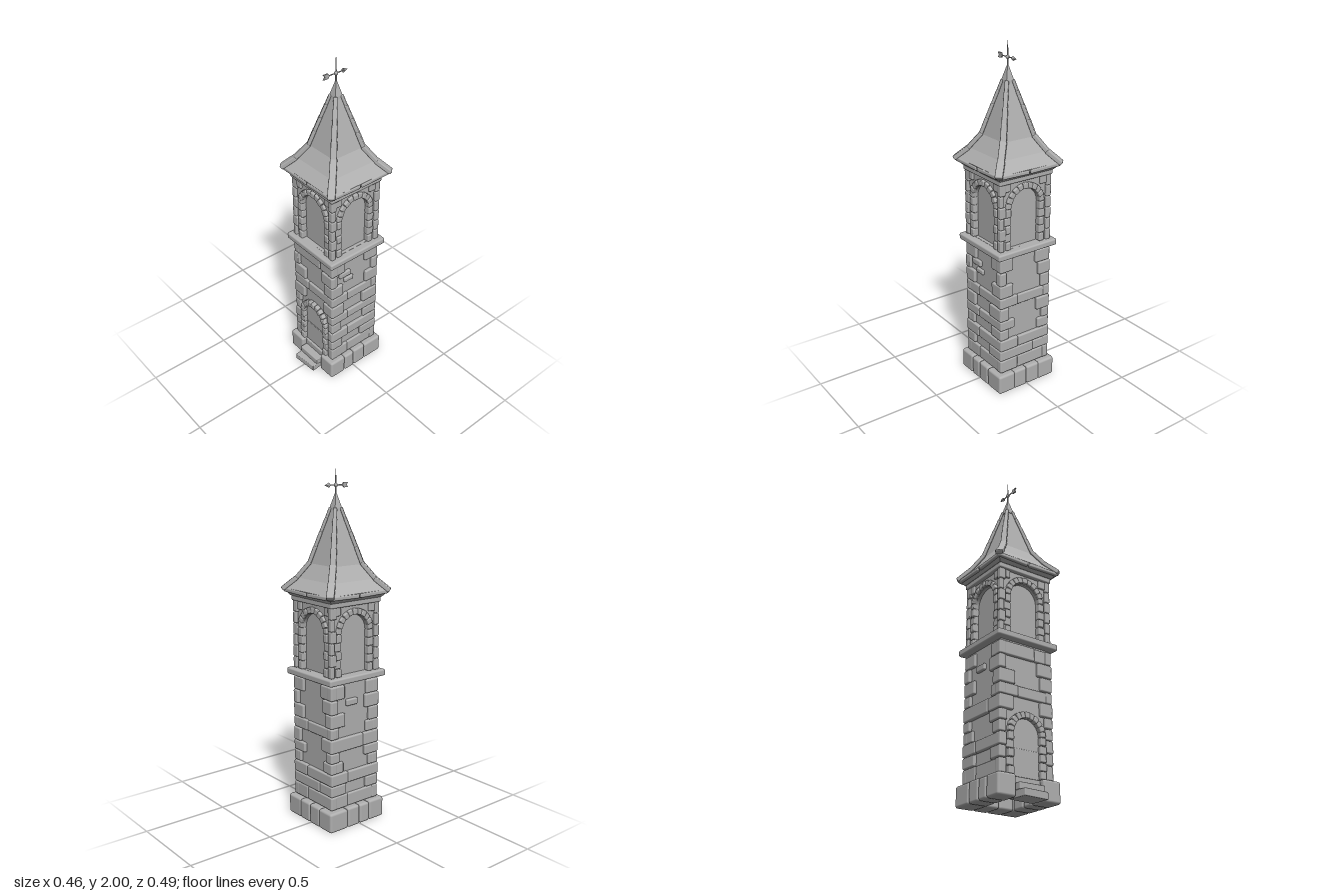
import * as THREE from 'three';
import { RoundedBoxGeometry } from 'three/addons/geometries/RoundedBoxGeometry.js';

const stone = new THREE.MeshStandardMaterial({ color: 0xb0b0b0 });
stone.name = 'grey stone';

function add(parent, name, geometry, x = 0, y = 0, z = 0) {
  const mesh = new THREE.Mesh(geometry, stone);
  mesh.name = name;
  mesh.position.set(x, y, z);
  parent.add(mesh);
  return mesh;
}

// Worn block given by its extents
function block(parent, name, x0, x1, y0, y1, z0, z1, r = 0.008) {
  const g = new RoundedBoxGeometry(x1 - x0, y1 - y0, z1 - z0, 2, r);
  return add(parent, name, g, (x0 + x1) / 2, (y0 + y1) / 2, (z0 + z1) / 2);
}

// Square solid from [half width, height] pairs, flat sides
function squareLoft(profile) {
  const pts = profile.map(([h, y]) => new THREE.Vector2(h * Math.SQRT2, y));
  const g = new THREE.LatheGeometry(pts, 4, Math.PI / 4).toNonIndexed();
  g.computeVertexNormals();
  return g;
}

// Jamb stones and voussoirs around a round-headed opening
function arch(parent, y0, spring, r, w, z0, z1, count) {
  const n = Math.round((spring - y0) / 0.045);
  const h = (spring - y0) / n;
  for (const s of [-1, 1]) {
    for (let i = 0; i < n; i++) {
      const a = s * r, b = s * (r + w + (i % 2 ? 0.008 : 0));
      block(parent, 'jambStone', Math.min(a, b), Math.max(a, b),
        y0 + i * h, y0 + (i + 1) * h - 0.002, z0, z1 - (i % 2) * 0.005, 0.006);
    }
  }
  for (let i = 0; i < count; i++) {
    const a = (i + 0.5) / count * Math.PI, m = r + w / 2;
    const g = new RoundedBoxGeometry(w, Math.PI * m / count, z1 - z0, 2, 0.006);
    const v = add(parent, 'archStone', g, Math.cos(a) * m, spring + Math.sin(a) * m,
      (z0 + z1) / 2 + (i % 2) * 0.003);
    v.rotation.z = a;
  }
}

// Wall plate with a round-headed hole
function archedWall(half, y0, y1, spring, r, depth) {
  const s = new THREE.Shape();
  s.moveTo(-half, y0).lineTo(half, y0).lineTo(half, y1).lineTo(-half, y1);
  const hole = new THREE.Path();
  hole.moveTo(-r, y0 + 0.005).lineTo(-r, spring);
  hole.absarc(0, spring, r, Math.PI, 0, true);
  hole.lineTo(r, y0 + 0.005);
  s.holes.push(hole);
  return new THREE.ExtrudeGeometry(s, { depth, bevelEnabled: false, curveSegments: 16 });
}

// Course heights, and left and right stone lengths per course for each side
const F = 0.173;
const courses = [0.12, 0.2, 0.265, 0.335, 0.4, 0.46, 0.54, 0.605, 0.685, 0.765, 0.845];
const sides = [
  { name: 'front', turn: 0, rows: [[0.045, 0.045], [0.04, 0.045], [0.045, 0.04], [0.04, 0.045],
    [0.05, 0.05], [0.09, 0.08], [F, F], [0.1, 0.075], [0.035, 0.095], [F, F]] },
  { name: 'right', turn: Math.PI / 2, rows: [[F, F], [0.08, 0.12], [F, F], [0.075, 0.1],
    [F, F], [0.09, 0.11], [F, F], [0.085, 0.09], [0.03, 0.04], [0.1, 0.095]] },
  { name: 'back', turn: Math.PI, rows: [[F, F], [F, F], [F, F], [0.06, 0.08],
    [0.1, 0.05], [0.06, 0.09], [F, F], [0.09, 0.06], [0.04, 0.08], [0.09, 0.1]] },
  { name: 'left', turn: -Math.PI / 2, rows: [[F, F], [0.11, 0.09], [F, F], [0.09, 0.07],
    [0.06, 0.1], [F, F], [0.06, 0.09], [0.1, 0.07], [0.05, 0.1], [0.1, 0.09]] },
];

export function createModel() {
  const model = new THREE.Group();
  model.name = 'bellTower';
  const tower = new THREE.Group();
  tower.name = 'tower';
  tower.position.set(0.004, 0, -0.02);
  model.add(tower);

  // Plain wall cores
  add(tower, 'lowerWall', new THREE.BoxGeometry(0.312, 0.76, 0.312), 0, 0.48, 0);
  add(tower, 'belfryCore', new THREE.BoxGeometry(0.27, 0.44, 0.27), 0, 1.09, 0);

  // Hollow ring of plinth blocks, open in front for the steps
  const P = 0.198;
  for (const s of [-1, 1]) {
    const cuts = [P, 0.09, 0.018, -0.07, -P];
    for (let i = 0; i < 4; i++) {
      const inner = 0.085, a = s * inner, b = s * P;
      block(tower, 'plinthBlock', Math.min(a, b), Math.max(a, b), 0, 0.12 - (i % 2) * 0.003,
        cuts[i + 1], cuts[i], 0.014);
    }
    block(tower, 'plinthBlock', s < 0 ? -0.09 : 0, s < 0 ? 0 : 0.09, 0, 0.118, -P, -0.07, 0.014);
  }

  // Doorsteps
  const step = block(tower, 'lowerStep', -0.083, 0.073, 0, 0.04, 0.13, 0.252, 0.005);
  step.rotation.y = 0.08;
  block(tower, 'upperStep', -0.08, 0.08, 0.04, 0.078, 0.09, 0.218, 0.005);
  block(tower, 'doorSill', -0.085, 0.085, 0.07, 0.115, 0.08, 0.172, 0.005);

  for (const side of sides) {
    const face = new THREE.Group();
    face.name = side.name + 'Face';
    face.rotation.y = side.turn;
    tower.add(face);

    // Corner stones and full bands
    side.rows.forEach(([l, r], i) => {
      const y0 = courses[i] + 0.002, y1 = courses[i + 1], out = 0.172 + (i % 3) * 0.002;
      if (l === F) {
        const split = (i % 2 ? 0.06 : -0.05);
        block(face, 'bandStone', -F, split, y0, y1, 0.13, out);
        block(face, 'bandStone', split, F, y0, y1 - 0.002, 0.13, out - 0.002);
      } else {
        block(face, 'cornerStone', -F, -F + l, y0, y1, 0.13, out);
        block(face, 'cornerStone', F - r, F, y0, y1, 0.13, out);
      }
    });

    // Belfry opening, posts and trim
    add(face, 'belfryWall', archedWall(0.156, 0.89, 1.285, 1.13, 0.098, 0.03), 0, 0, 0.126);
    arch(face, 0.895, 1.135, 0.096, 0.034, 0.13, 0.17, 11);
    block(face, 'belfryCornice', -0.178, 0.178, 1.282, 1.315, 0.12, 0.178, 0.008);
    for (let i = 0; i < 6; i++) {
      const y = 0.895 + i * 0.065;
      block(face, 'belfryCornerStone', -0.173, -0.145 + (i % 2) * 0.012, y, y + 0.063, 0.14, 0.172, 0.006);
    }
    block(face, 'spandrelStone', -0.165, -0.1, 1.235, 1.283, 0.14, 0.168, 0.006);
    block(face, 'spandrelStone', 0.1, 0.165, 1.235, 1.283, 0.14, 0.168, 0.006);

    // Eave boards with a notch in the middle
    for (const s of [-1, 1]) {
      const b = block(face, 'eaveBoard', Math.min(s * 0.004, s * 0.208), Math.max(s * 0.004, s * 0.208),
        1.328, 1.352, 0.16, 0.21, 0.008);
      b.rotation.z = s * 0.02;
    }

    // Ridge tiles along one hip
    const hip = [[0.208, 1.35], [0.155, 1.41], [0.103, 1.495], [0.08, 1.58], [0.058, 1.66], [0.037, 1.735], [0.022, 1.79]];
    for (let i = 0; i < hip.length - 1; i++) {
      const a = new THREE.Vector3(hip[i][0], hip[i][1], hip[i][0]);
      const b = new THREE.Vector3(hip[i + 1][0], hip[i + 1][1], hip[i + 1][0]);
      const w = 0.042 - i * 0.004;
      const tile = add(face, 'ridgeTile',
        new RoundedBoxGeometry(w, 0.026 - i * 0.002, a.distanceTo(b) + 0.012, 2, 0.006));
      tile.position.copy(a).lerp(b, 0.5);
      tile.quaternion.setFromRotationMatrix(new THREE.Matrix4().lookAt(b, a, new THREE.Vector3(0, 1, 0)));
    }
  }

  // Odd stones proud of the side walls
  const right = tower.getObjectByName('rightFace');
  block(right, 'looseStone', -0.11, -0.03, 0.728, 0.765, 0.14, 0.172);
  block(right, 'looseStone', -0.075, -0.008, 0.685, 0.715, 0.14, 0.17);
  const left = tower.getObjectByName('leftFace');
  block(left, 'looseStone', -0.06, 0.02, 0.72, 0.758, 0.14, 0.172);

  // Doorway
  const front = tower.getObjectByName('frontFace');
  arch(front, 0.12, 0.345, 0.085, 0.035, 0.13, 0.182, 11);
  block(front, 'doorLowerPanel', -0.085, 0.085, 0.115, 0.265, 0.14, 0.16, 0.004);

  // Belt course between the storeys
  const belt = block(tower, 'beltCourse', -0.2, 0.2, 0.857, 0.895, -0.2, 0.2, 0.01);
  belt.rotation.z = -0.008;

  // Concave roof and its cap
  add(tower, 'roof', squareLoft([[0, 1.305], [0.18, 1.31], [0.2, 1.335], [0.205, 1.352],
    [0.15, 1.41], [0.1, 1.49], [0.02, 1.79], [0, 1.79]]));
  add(tower, 'roofCap', squareLoft([[0, 1.775], [0.026, 1.78], [0.024, 1.795], [0.004, 1.87], [0, 1.872]]));

  // Weathervane
  const vane = new THREE.Group();
  vane.name = 'weathervane';
  vane.position.y = 1.915;
  tower.add(vane);
  add(vane, 'vanePole', new THREE.CylinderGeometry(0.002, 0.005, 0.14, 8), 0, 0.015, 0);
  add(vane, 'vaneBall', new THREE.SphereGeometry(0.011, 12, 8));
  add(vane, 'vaneArm', new THREE.CylinderGeometry(0.003, 0.003, 0.13, 8)).rotation.x = Math.PI / 2;
  add(vane, 'vaneTip', new THREE.ConeGeometry(0.014, 0.032, 4), 0, 0, -0.062).rotation.x = -Math.PI / 2;
  const fin = new THREE.Shape([[0.045, 0], [0.055, 0.014], [0.084, 0.014], [0.074, 0], [0.084, -0.014], [0.055, -0.014]]
    .map(([x, y]) => new THREE.Vector2(x, y)));
  const tail = add(vane, 'vaneTail',
    new THREE.ExtrudeGeometry(fin, { depth: 0.008, bevelEnabled: false }), -0.004, 0, 0);
  tail.rotation.y = -Math.PI / 2;
  tail.position.x = 0.004;
  return model;
}
